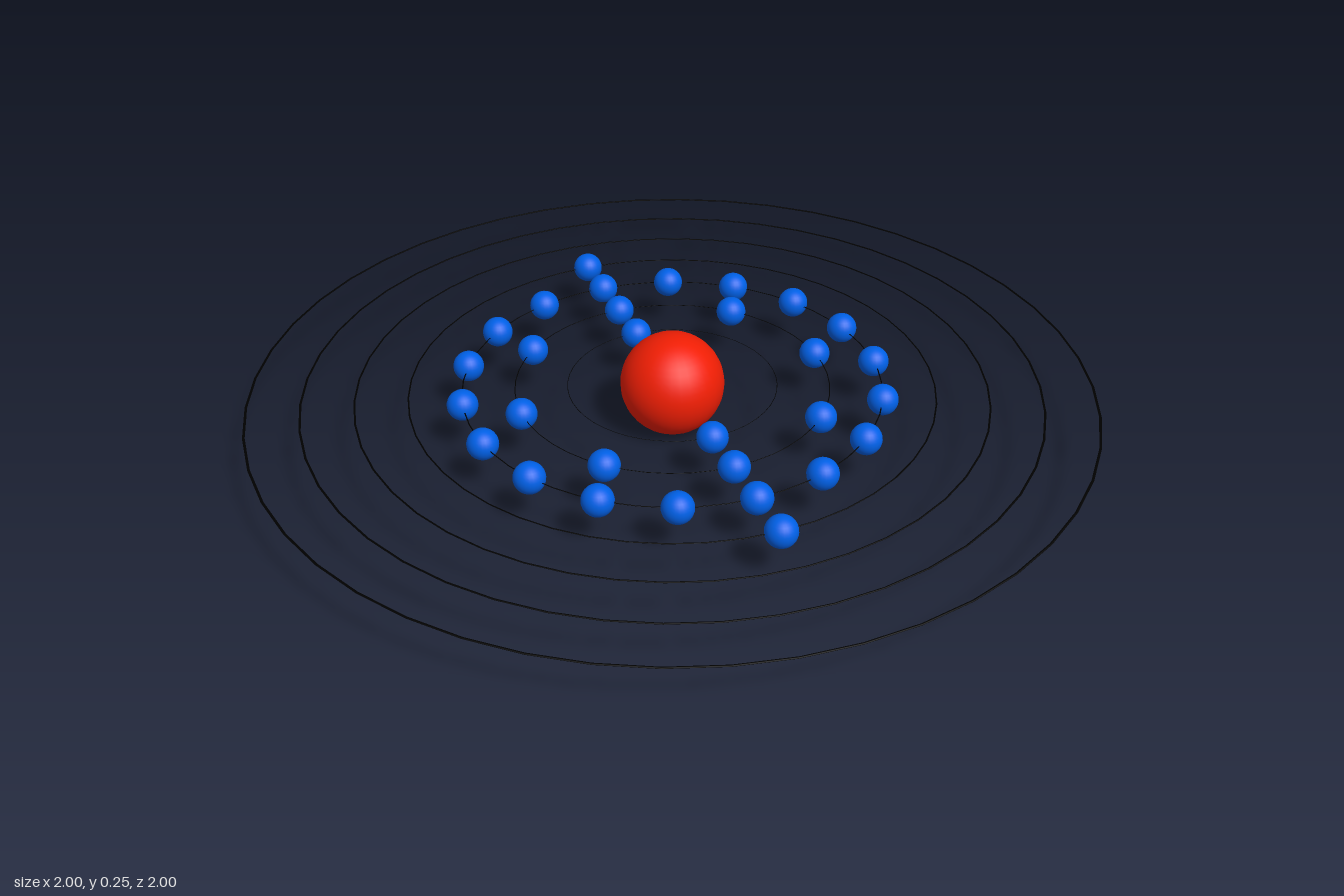
import * as THREE from 'three';

const CENTRE_Y = 0.125;
const SHELL_STEP = 0.1246;

// electrons on each orbit, from the innermost outwards
const SHELLS = [2, 8, 18, 2, 0, 0, 0];

export function createModel() {
  const model = new THREE.Group();
  model.name = 'atom';

  const red = new THREE.MeshStandardMaterial({ color: 0xf01e04 });
  const blue = new THREE.MeshStandardMaterial({ color: 0x0060e6 });
  const black = new THREE.MeshStandardMaterial({ color: 0x000000 });

  const add = (name, geometry, material, parent) => {
    const mesh = new THREE.Mesh(geometry, material);
    mesh.name = name;
    parent.add(mesh);
    return mesh;
  };

  // nucleus
  add('nucleus', new THREE.SphereGeometry(0.124, 32, 24), red, model).position.y = CENTRE_Y;

  // orbits, each with its evenly spaced electrons starting at the back
  const electronGeometry = new THREE.SphereGeometry(0.037, 24, 16);
  SHELLS.forEach((count, i) => {
    const radius = SHELL_STEP * (i + 2);
    const shell = new THREE.Group();
    shell.name = `shell${i + 1}`;
    shell.position.y = CENTRE_Y;
    model.add(shell);

    // a flattened wire that thickens in proportion to the orbit
    const wire = 0.003 * radius;
    const orbit = new THREE.TorusGeometry(radius, wire, 8, 48).rotateX(Math.PI / 2).scale(1, 0.5, 1);
    add('orbit', orbit, black, shell);

    for (let k = 0; k < count; k++) {
      const angle = (k / count) * Math.PI * 2;
      add('electron', electronGeometry, blue, shell)
        .position.set(radius * Math.sin(angle), 0, -radius * Math.cos(angle));
    }
  });

  return model;
}
